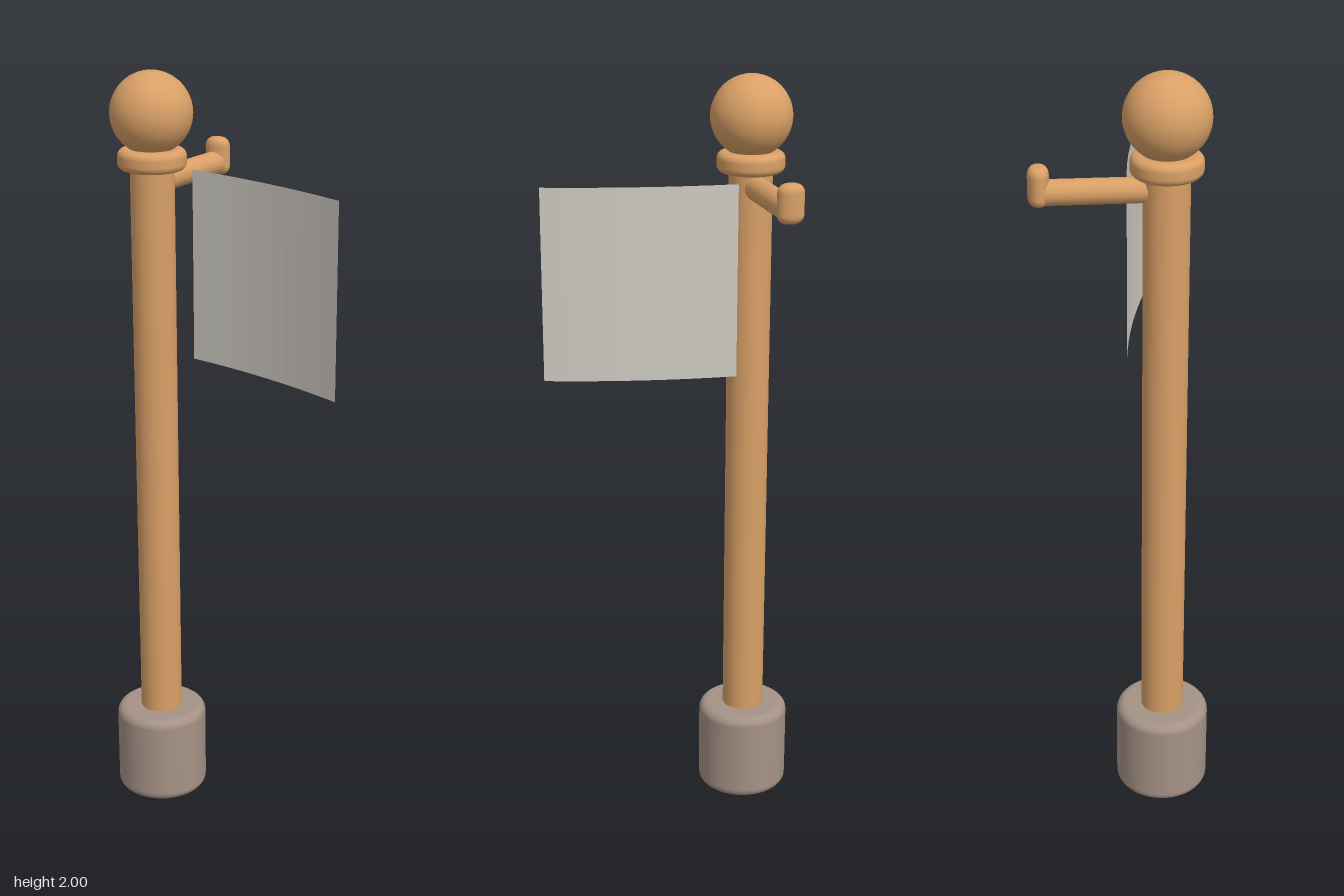
import * as THREE from 'three';

// Upright cylinder with rounded rims, standing from y0 to y1
function roundedCylinder(radius, y0, y1, bevel, material, name) {
  const points = [new THREE.Vector2(0, y0)];
  for (const [cy, start] of [[y0 + bevel, -Math.PI / 2], [y1 - bevel, 0]]) {
    for (let i = 0; i <= 6; i++) {
      const a = start + (i / 6) * Math.PI / 2;
      points.push(new THREE.Vector2(radius - bevel + Math.cos(a) * bevel, cy + Math.sin(a) * bevel));
    }
  }
  points.push(new THREE.Vector2(0, y1));
  const mesh = new THREE.Mesh(new THREE.LatheGeometry(points, 40), material);
  mesh.name = name;
  return mesh;
}

export function createModel() {
  const wood = new THREE.MeshStandardMaterial({ color: 0xd9a066 });
  wood.name = 'wood';
  const stone = new THREE.MeshStandardMaterial({ color: 0xa59286 });
  stone.name = 'stone';
  const cloth = new THREE.MeshStandardMaterial({ color: 0xd0ccc4, side: THREE.DoubleSide, flatShading: true });
  cloth.name = 'cloth';

  const model = new THREE.Group();
  model.name = 'flagPole';

  // Post: stone foot, shaft, collar and neck share one axis
  const post = new THREE.Group();
  post.name = 'post';
  post.position.set(-0.208, 0, 0.1);
  model.add(post);
  post.add(
    roundedCylinder(0.122, 0, 0.25, 0.025, stone, 'foot'),
    roundedCylinder(0.056, 0.2, 1.77, 0.005, wood, 'shaft'),
    roundedCylinder(0.087, 1.755, 1.808, 0.018, wood, 'collar'),
    roundedCylinder(0.056, 1.79, 1.84, 0.005, wood, 'neck')
  );

  // Ball finial
  const ball = new THREE.Mesh(new THREE.SphereGeometry(0.104, 40, 28), wood);
  ball.name = 'ball';
  ball.position.y = 1.896;
  post.add(ball);

  // Peg pointing backwards with an upturned tip
  const peg = new THREE.Group();
  peg.name = 'peg';
  peg.rotation.y = 0.17;
  post.add(peg);
  const arm = new THREE.Mesh(new THREE.CylinderGeometry(0.031, 0.031, 0.3, 24), wood);
  arm.name = 'pegArm';
  arm.rotation.x = Math.PI / 2;
  arm.position.set(0, 1.721, -0.15);
  peg.add(arm);
  const tip = roundedCylinder(0.034, 1.69, 1.787, 0.022, wood, 'pegTip');
  tip.scale.z = 0.75;
  tip.position.z = -0.298;
  peg.add(tip);

  // Flag: thin sheet bent gently along its length
  const width = 0.493;
  const sheet = new THREE.PlaneGeometry(width, 0.5, 8, 1);
  const pos = sheet.attributes.position;
  for (let i = 0; i < pos.count; i++) {
    const u = pos.getX(i) / width + 0.5;
    pos.setZ(i, -0.005 + 0.059 * (u - 0.35) ** 2);
  }
  sheet.computeVertexNormals();
  const flag = new THREE.Mesh(sheet, cloth);
  flag.name = 'flag';
  flag.position.set(0.33 - width / 2, 1.495, 0);
  model.add(flag);

  return model;
}
